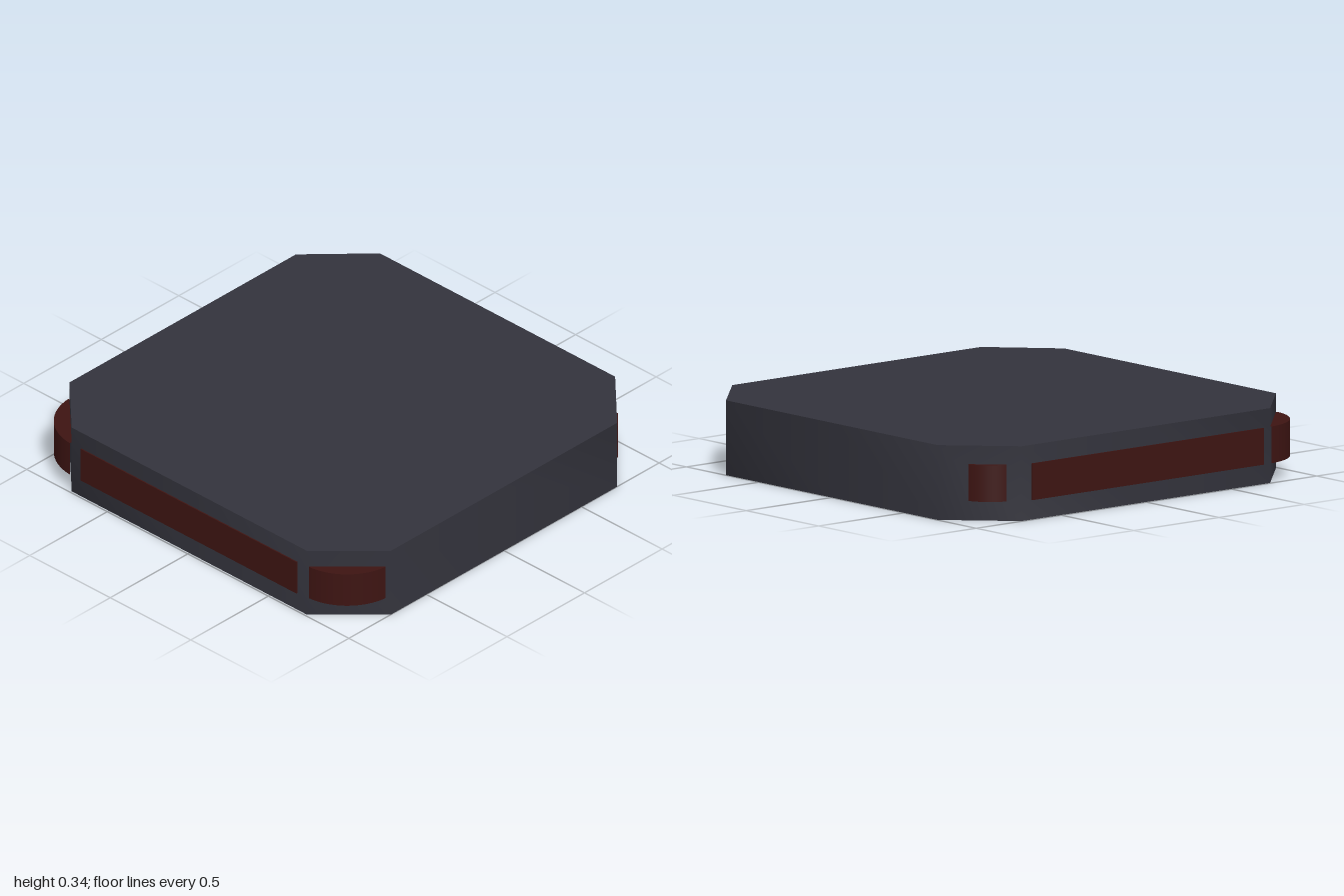
import * as THREE from 'three';
import { toCreasedNormals } from 'three/addons/utils/BufferGeometryUtils.js';

const HEIGHT = 0.34, LAMP_Y = 0.172, LAMP_H = 0.167;

export function createModel() {
  const model = new THREE.Group();
  model.name = 'bevelledSlab';
  const dark = new THREE.MeshStandardMaterial({ color: 0x33333c });
  const red = new THREE.MeshStandardMaterial({ color: 0x3d1412 });

  const add = (name, geometry, material, x = 0, y = 0, z = 0) => {
    const mesh = new THREE.Mesh(geometry, material);
    mesh.name = name;
    mesh.position.set(x, y, z);
    model.add(mesh);
    return mesh;
  };

  // Square slab with cut corners; the side wall is shaded smoothly round the corners
  const L = -0.995, R = 1, F = 0.99, B = -0.997, c = 0.73;
  const outline = [[0, F], [c, F], [R, c], [R, 0], [R, -c], [c, B], [0, B],
    [-c, B], [L, -c], [L, 0], [L, c], [-c, F]];
  const shape = new THREE.Shape(outline.map(([x, z]) => new THREE.Vector2(x, -z)));
  const slab = new THREE.ExtrudeGeometry(shape, { depth: HEIGHT, bevelEnabled: false });
  slab.rotateX(-Math.PI / 2);
  add('body', toCreasedNormals(slab, 0.9), dark);

  // Long thin strips on the front and on the right-hand side
  add('frontStrip', new THREE.BoxGeometry(1.34, LAMP_H, 0.03), red, 0, LAMP_Y, 0.981);
  add('sideStrip', new THREE.BoxGeometry(0.03, LAMP_H, 1.36), red, -0.985, LAMP_Y, 0.01);

  // Curved lamps: sectors of a cylinder set into the cut corners
  const lens = (name, x, z, radius, direction, spread) => add(name,
    new THREE.CylinderGeometry(radius, radius, LAMP_H, 24, 1, false, direction - spread, spread * 2),
    red, x, LAMP_Y, z);
  lens('frontLeftLamp', 0.72, 0.72, 0.265, Math.PI / 4, 0.72);
  lens('frontRightLamp', -0.72, 0.72, 0.275, -Math.PI / 4, 0.72);
  lens('backRightLamp', -0.777, -0.727, 0.18, -3 * Math.PI / 4, 0.49);

  // Small flat lamp on the remaining corner
  const small = add('backLeftLamp', new THREE.BoxGeometry(0.108, LAMP_H, 0.03), red, 0.883, LAMP_Y, -0.835);
  small.rotation.y = 3 * Math.PI / 4;

  return model;
}
